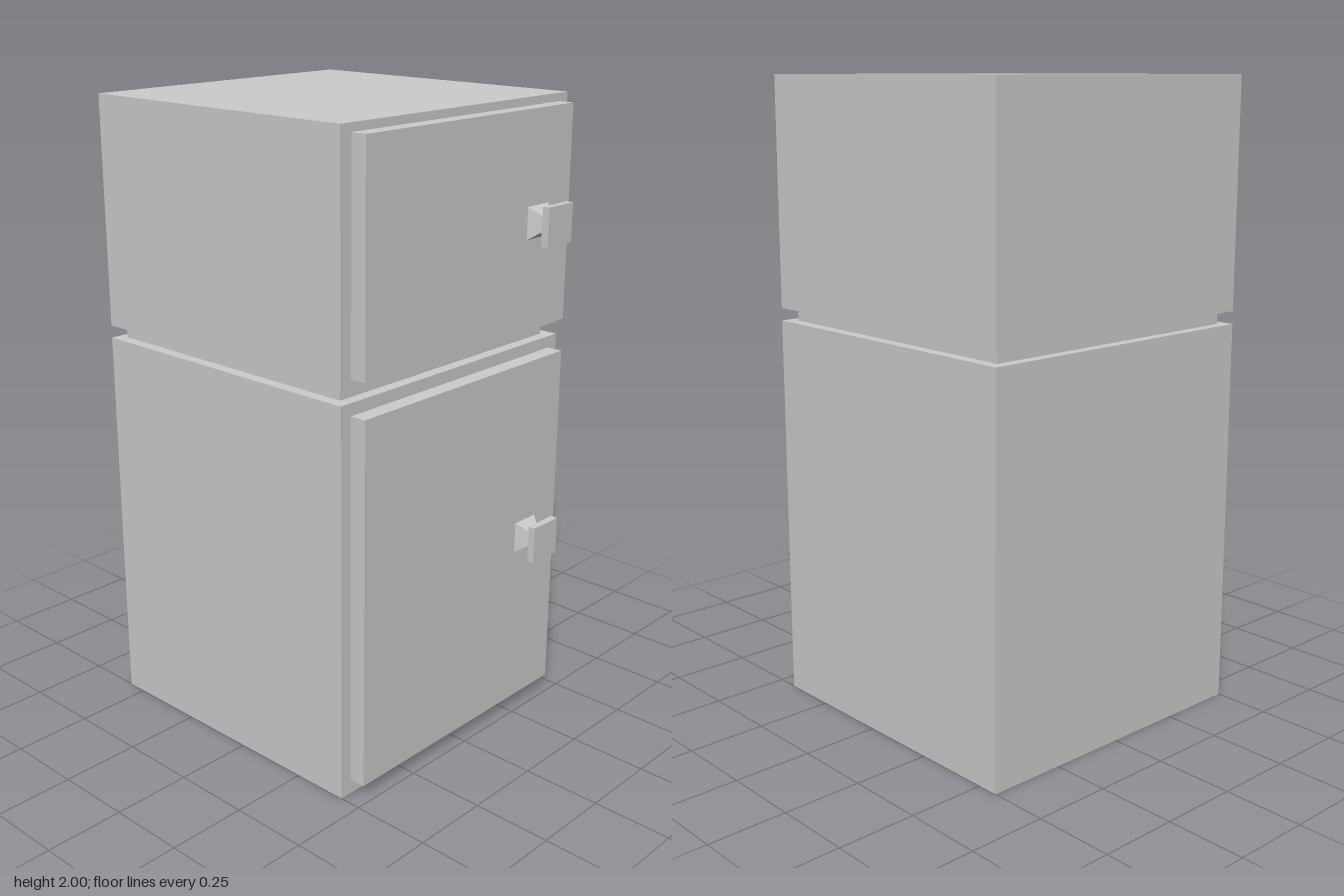
import * as THREE from 'three';

const material = new THREE.MeshStandardMaterial({ color: 0xcccccc, flatShading: true });

// Box given by its limits on each axis
function box(name, [x0, x1], [y0, y1], [z0, z1]) {
  const mesh = new THREE.Mesh(new THREE.BoxGeometry(x1 - x0, y1 - y0, z1 - z0), material);
  mesh.name = name;
  mesh.position.set((x0 + x1) / 2, (y0 + y1) / 2, (z0 + z1) / 2);
  return mesh;
}

// Square knob: tapered stem, flared head and flat cap, pointing along +x
function knob(name, y) {
  const profile = [[0.05, 0], [0.024, 0.036], [0.06, 0.06], [0.06, 0.083], [0, 0.083]]
    .map(([half, h]) => new THREE.Vector2(half * Math.SQRT2, h));
  const geometry = new THREE.LatheGeometry(profile, 4, Math.PI / 4).toNonIndexed();
  geometry.rotateZ(-Math.PI / 2);
  geometry.computeVertexNormals();
  const mesh = new THREE.Mesh(geometry, material);
  mesh.name = name;
  mesh.position.set(0.482, y, -0.302);
  return mesh;
}

export function createModel() {
  const group = new THREE.Group();
  group.name = 'refrigerator';

  // Two cabinets joined by a recessed neck
  const cabinetX = [-0.567, 0.431], cabinetZ = [-0.5, 0.5];
  group.add(
    box('lowerCabinet', cabinetX, [0, 1.24], cabinetZ),
    box('neck', [-0.535, 0.394], [1.24, 1.28], [-0.464, 0.464]),
    box('upperCabinet', cabinetX, [1.28, 2], cabinetZ)
  );

  // Doors and their knobs on the +x side
  const doorX = [0.431, 0.482], doorZ = [-0.46, 0.458];
  group.add(
    box('lowerDoor', doorX, [0.046, 1.202], doorZ),
    box('upperDoor', doorX, [1.307, 1.975], doorZ),
    knob('lowerKnob', 0.623),
    knob('upperKnob', 1.639)
  );
  return group;
}
